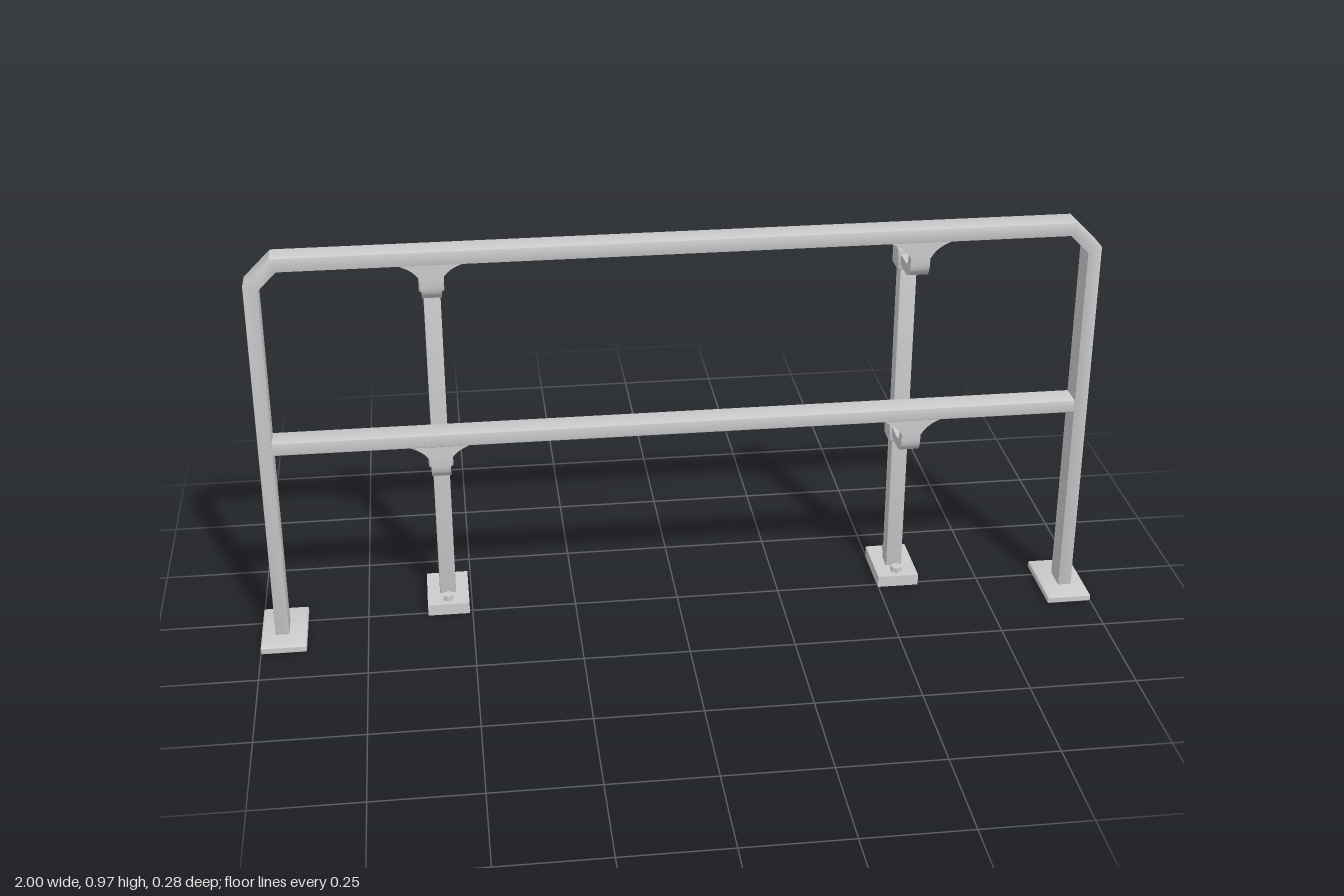
import * as THREE from 'three';
import { RoundedBoxGeometry } from 'three/addons/geometries/RoundedBoxGeometry.js';
import { toCreasedNormals } from 'three/addons/utils/BufferGeometryUtils.js';

const material = new THREE.MeshStandardMaterial({ color: 0xcccccc });

function add(parent, name, geometry, x = 0, y = 0, z = 0) {
  const mesh = new THREE.Mesh(geometry, material);
  mesh.name = name;
  mesh.position.set(x, y, z);
  parent.add(mesh);
  return mesh;
}

const rounded = (w, h, d, r) => toCreasedNormals(new RoundedBoxGeometry(w, h, d, 2, r), 0.6);

// Extrusion centred on its own depth, with an optional small bevel inside the outline
function slab(shape, depth, bevel = 0) {
  const g = new THREE.ExtrudeGeometry(shape, {
    depth: depth - 2 * bevel, curveSegments: 10, bevelEnabled: bevel > 0,
    bevelSize: bevel, bevelOffset: -bevel, bevelThickness: bevel, bevelSegments: 2,
  });
  g.translate(0, 0, -depth / 2 + bevel);
  return toCreasedNormals(g, 0.6);
}

const RAIL_Z = 0.053, POST_Z = -0.064, TUBE_DEPTH = 0.062;
const TOP_RAIL_BOTTOM = 0.935, MID_RAIL_BOTTOM = 0.488;

// Bent handrail frame: two legs and a top rail with mitred corners
function handrailGeometry() {
  const half = [
    [0.935, 0.01], [0.967, 0.01], [0.967, 0.905], [0.905, 0.967],
  ];
  const inner = [[0.892, 0.935], [0.935, 0.892]];
  const mirror = (list) => list.map(([x, y]) => [-x, y]).reverse();
  const outline = [...half, ...mirror(half), ...mirror(inner), ...inner];
  return slab(new THREE.Shape(outline.map(([x, y]) => new THREE.Vector2(x, y))), TUBE_DEPTH, 0.002);
}

// Curved strap running forward from a post collar and up to the rail; y = 0 is the rail underside
function strapGeometry() {
  const s = new THREE.Shape();
  s.moveTo(-0.045, -0.097);
  s.lineTo(0.022, -0.097);
  s.quadraticCurveTo(0.066, -0.097, 0.066, -0.05);
  s.lineTo(0.066, 0);
  s.lineTo(0.041, 0);
  s.lineTo(0.041, -0.045);
  s.quadraticCurveTo(0.041, -0.072, 0.018, -0.072);
  s.lineTo(-0.045, -0.072);
  s.closePath();
  return slab(s, 0.045).rotateY(-Math.PI / 2);
}

// Saddle flaring out along the rail underside
function saddleGeometry() {
  const s = new THREE.Shape();
  s.moveTo(-0.072, 0.002);
  s.lineTo(-0.072, -0.004);
  s.quadraticCurveTo(-0.036, -0.016, -0.023, -0.042);
  s.lineTo(0.023, -0.042);
  s.quadraticCurveTo(0.036, -0.016, 0.072, -0.004);
  s.lineTo(0.072, 0.002);
  s.closePath();
  return slab(s, 0.034);
}

function createBracket(railBottom) {
  const bracket = new THREE.Group();
  bracket.name = 'railBracket';
  bracket.position.y = railBottom;
  add(bracket, 'collar', rounded(0.058, 0.055, 0.059, 0.005), 0, -0.085, POST_Z);
  add(bracket, 'strap', strapGeometry());
  add(bracket, 'saddle', saddleGeometry(), 0, 0, RAIL_Z);
  return bracket;
}

function createSupport(x) {
  const support = new THREE.Group();
  support.name = 'rearSupport';
  support.position.x = x;
  add(support, 'rearPost', rounded(0.039, 0.85, 0.041, 0.002), 0, 0.445, POST_Z);
  add(support, 'rearBasePlate', new THREE.BoxGeometry(0.1, 0.028, 0.155), 0, 0.014, -0.065);
  // Anchor bolts in front of and behind the post
  for (const z of [-0.015, -0.116]) {
    add(support, 'anchorBolt', toCreasedNormals(new THREE.CylinderGeometry(0.014, 0.014, 0.013, 6), 0.6), 0, 0.0345, z);
  }
  for (const y of [TOP_RAIL_BOTTOM, MID_RAIL_BOTTOM]) support.add(createBracket(y));
  return support;
}

export function createModel() {
  const model = new THREE.Group();
  model.name = 'guardRail';
  add(model, 'handrailFrame', handrailGeometry(), 0, 0, RAIL_Z);
  add(model, 'middleRail', rounded(1.88, 0.031, TUBE_DEPTH - 0.003, 0.002), 0, MID_RAIL_BOTTOM + 0.0155, RAIL_Z);

  // Foot plates with softened long edges
  for (const side of [-1, 1]) {
    add(model, 'footPlate', rounded(0.107, 0.017, 0.182, 0.004), side * 0.9465, 0.0085, 0.051);
  }
  for (const x of [-0.557, 0.549]) model.add(createSupport(x));
  return model;
}
